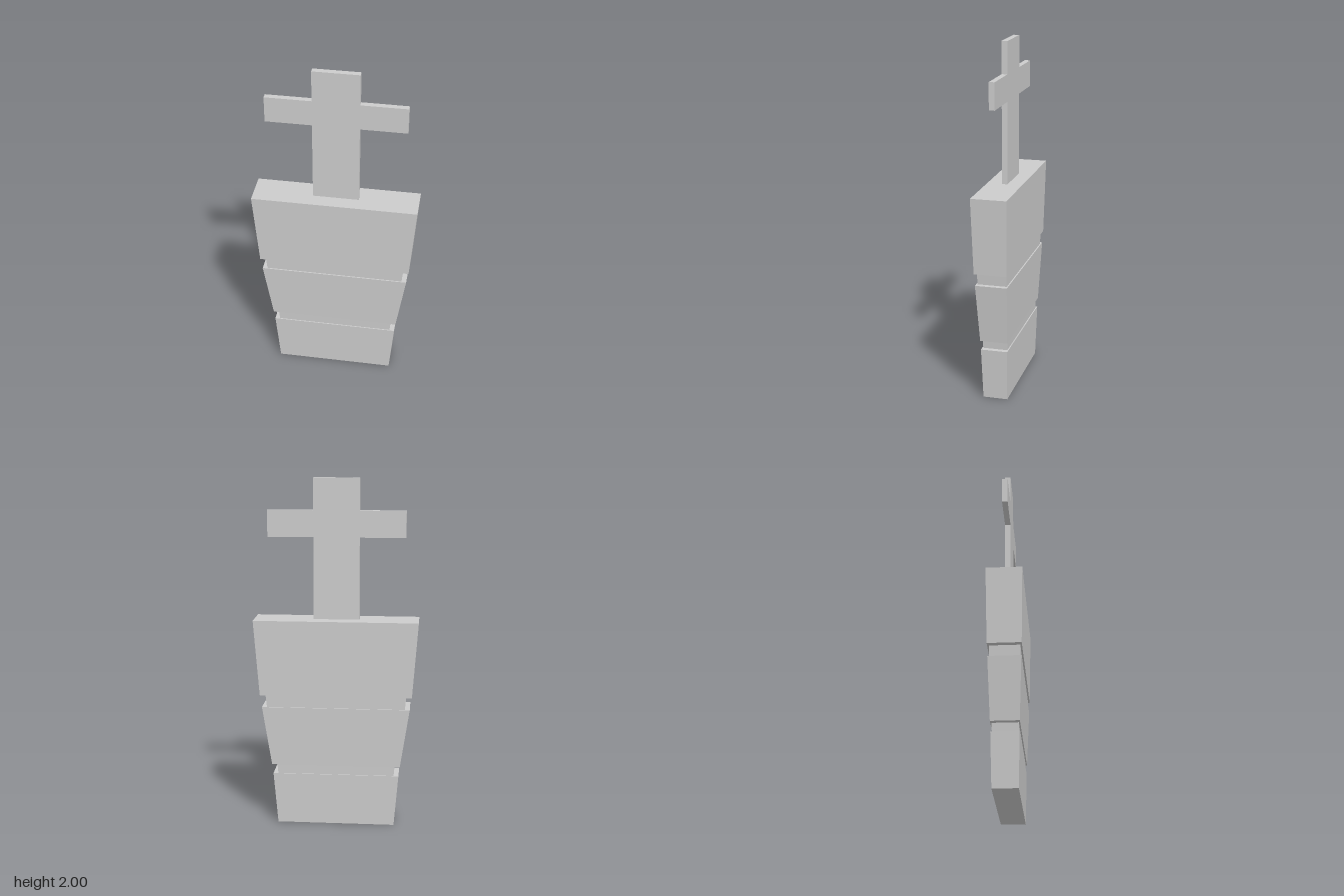
import * as THREE from 'three';

const material = new THREE.MeshStandardMaterial({ color: 0xcccccc, flatShading: true });

// Rectangular cross-sections of the body, bottom to top: [y, half width, half depth]
const sections = [
  [0, 0.338, 0.07], [0.3, 0.363, 0.076],      // lower block
  [0.3, 0.335, 0.07], [0.355, 0.34, 0.071],   // lower groove
  [0.355, 0.37, 0.078], [0.7, 0.423, 0.09],   // middle block
  [0.7, 0.395, 0.083], [0.77, 0.402, 0.084],  // upper groove
  [0.77, 0.434, 0.093], [1.205, 0.467, 0.1],  // upper block
];

// Joins the rectangular sections with flat quads and closes both ends
function loftRectangles(rings) {
  const corners = rings.map(([y, w, d]) => [[-w, y, d], [w, y, d], [w, y, -d], [-w, y, -d]]);
  const positions = [];
  const quad = (a, b, c, d) => positions.push(...a, ...b, ...c, ...a, ...c, ...d);
  for (let i = 0; i < corners.length - 1; i++) {
    const low = corners[i], high = corners[i + 1];
    for (let j = 0; j < 4; j++) {
      const k = (j + 1) % 4;
      quad(low[j], low[k], high[k], high[j]);
    }
  }
  quad(...corners[0].slice().reverse());
  quad(...corners[corners.length - 1]);
  const geometry = new THREE.BufferGeometry();
  geometry.setAttribute('position', new THREE.Float32BufferAttribute(positions, 3));
  geometry.computeVertexNormals();
  return geometry;
}

// Thin cross plate, outlined from its right half and mirrored
function crossGeometry() {
  const post = 0.13, arm = 0.389;
  const half = [[post, 1.205], [post, 1.67], [arm, 1.67], [arm, 1.82], [post, 1.82], [post, 2]];
  const mirrored = half.map(([x, y]) => [-x, y]).reverse();
  const shape = new THREE.Shape([...half, ...mirrored].map(([x, y]) => new THREE.Vector2(x, y)));
  const geometry = new THREE.ExtrudeGeometry(shape, { depth: 0.032, bevelEnabled: false });
  return geometry.translate(0, 0, -0.017);
}

export function createModel() {
  const model = new THREE.Group();
  model.name = 'taperedBlockWithCross';

  const body = new THREE.Mesh(loftRectangles(sections), material);
  body.name = 'groovedBody';

  const cross = new THREE.Mesh(crossGeometry(), material);
  cross.name = 'cross';

  model.add(body, cross);
  return model;
}
